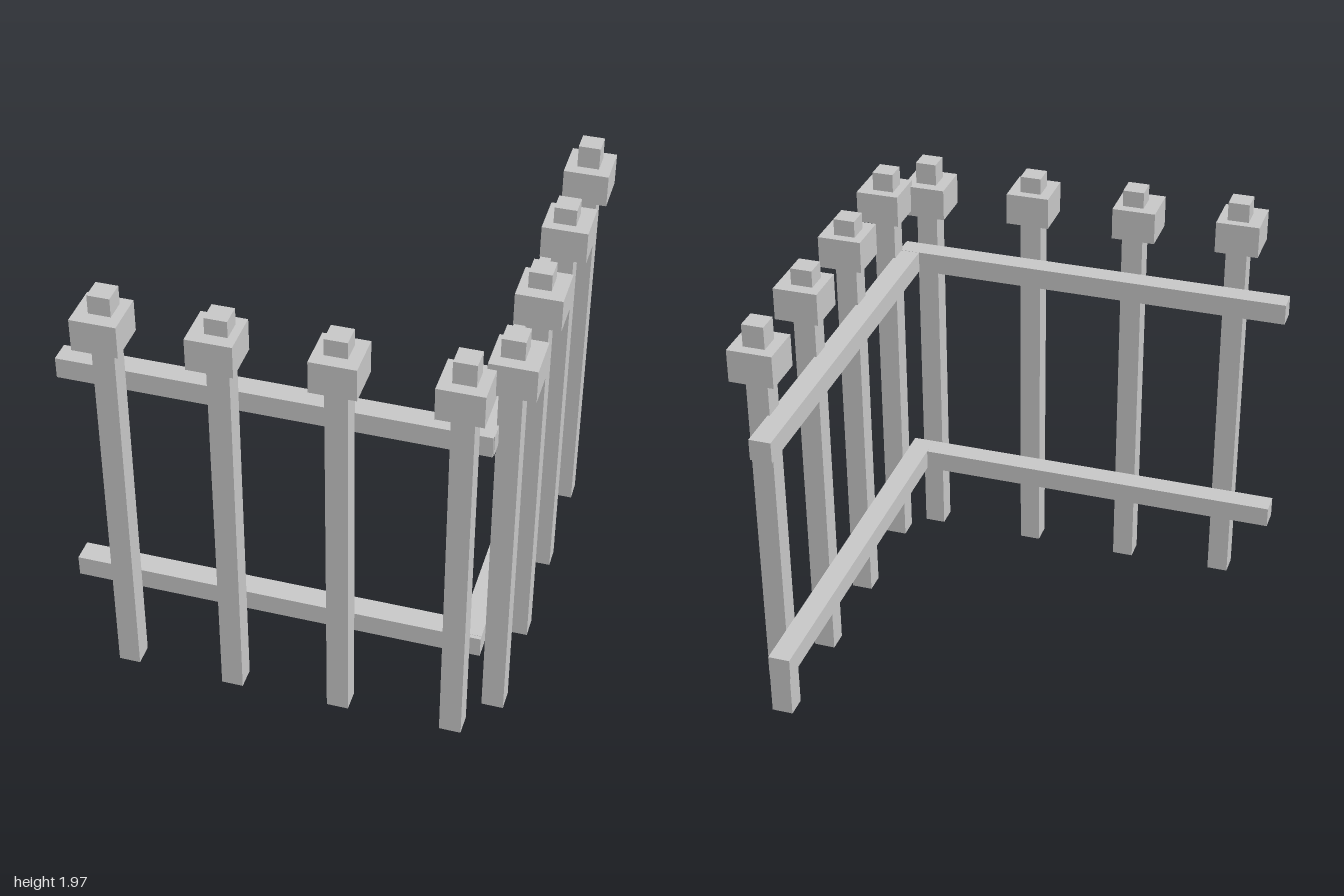
import * as THREE from 'three';

const material = new THREE.MeshStandardMaterial({ color: 0xcccccc, flatShading: true });
const POST = 0.095, CAP = 0.195, CAP_HEIGHT = 0.145;

// Box given by its lower and upper corners
function box(name, [x0, y0, z0], [x1, y1, z1]) {
  const mesh = new THREE.Mesh(new THREE.BoxGeometry(x1 - x0, y1 - y0, z1 - z0), material);
  mesh.position.set((x0 + x1) / 2, (y0 + y1) / 2, (z0 + z1) / 2);
  mesh.name = name;
  return mesh;
}

// Square post with a wider block threaded near its top
function picket(name, { x, z, bottom, top, capX, capZ, capY }) {
  const group = new THREE.Group();
  group.name = name;
  const p = POST / 2, c = CAP / 2;
  group.add(
    box('post', [x - p, bottom, z - p], [x + p, top, z + p]),
    box('cap', [capX - c, capY, capZ - c], [capX + c, capY + CAP_HEIGHT, capZ + c]),
  );
  return group;
}

export function createModel() {
  const fence = new THREE.Group();
  fence.name = 'cornerFence';

  // Front run: post x, bottom, top, cap x, cap z, cap base
  [
    [-0.73, 0.01, 1.97, -0.737, 0.899, 1.74],
    [-0.253, 0, 1.96, -0.267, 0.893, 1.74],
    [0.225, 0, 1.96, 0.228, 0.896, 1.74],
    [0.725, 0, 1.96, 0.723, 0.888, 1.715],
  ].forEach(([x, bottom, top, capX, capZ, capY]) =>
    fence.add(picket('frontPicket', { x, z: 0.887, bottom, top, capX, capZ, capY })));

  // Side run: post z, bottom, top, cap x, cap z, cap base
  [
    [0.71, 0.015, 1.97, 0.881, 0.714, 1.74],
    [0.235, 0.005, 1.96, 0.878, 0.243, 1.74],
    [-0.247, 0.005, 1.96, 0.878, -0.252, 1.74],
    [-0.747, 0.005, 1.96, 0.87, -0.744, 1.715],
  ].forEach(([z, bottom, top, capX, capZ, capY]) =>
    fence.add(picket('sidePicket', { x: 0.868, z, bottom, top, capX, capZ, capY })));

  // Rails on the inner faces of the pickets, meeting at the corner
  fence.add(
    box('frontUpperRail', [-0.985, 1.46, 0.745], [0.827, 1.555, 0.84]),
    box('frontLowerRail', [-0.975, 0.38, 0.737], [0.818, 0.475, 0.838]),
    box('sideUpperRail', [0.735, 1.459, -0.988], [0.83, 1.554, 0.83]),
    box('sideLowerRail', [0.72, 0.381, -1], [0.816, 0.476, 0.82]),
  );
  return fence;
}
